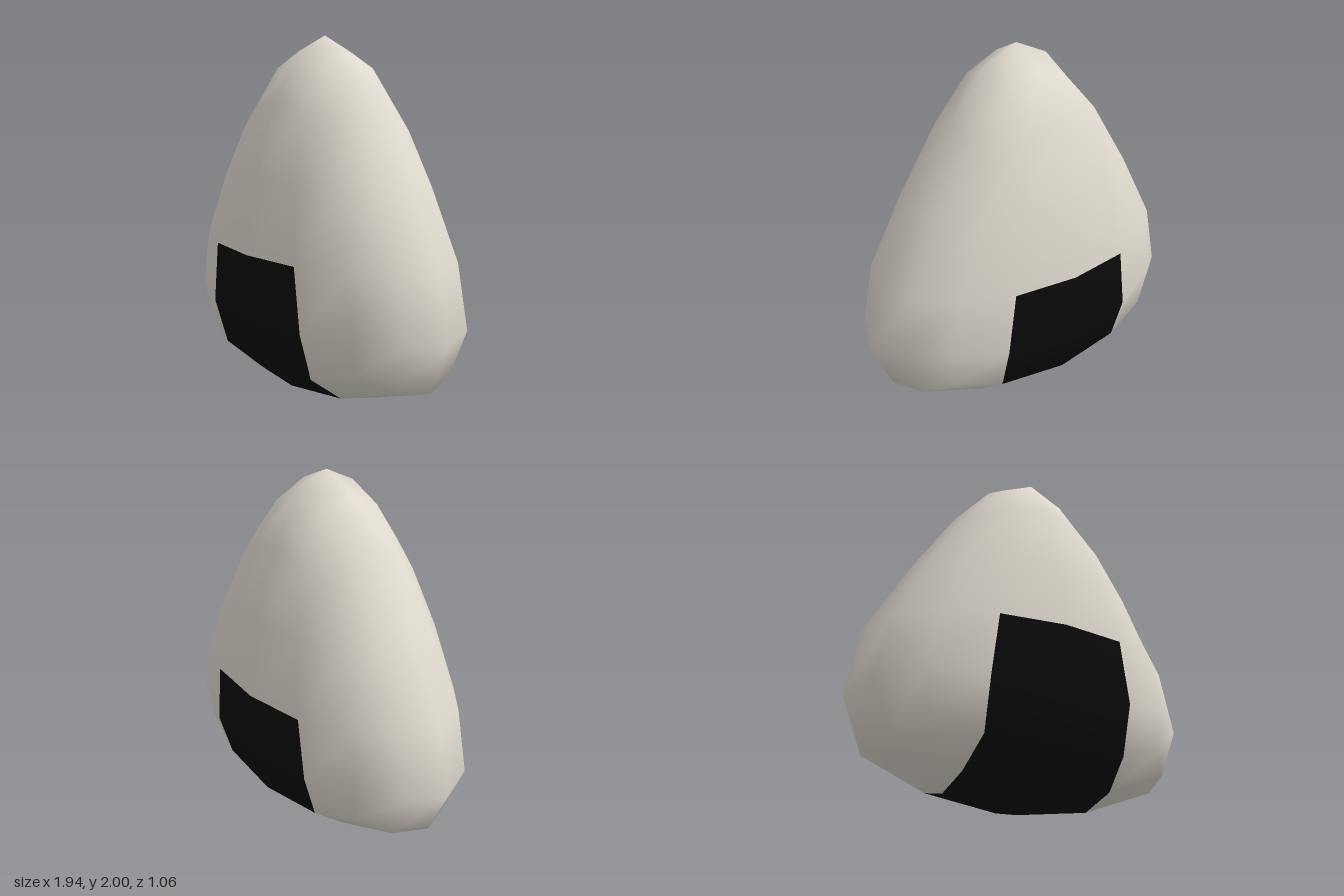
import * as THREE from 'three';
import { mergeVertices } from 'three/addons/utils/BufferGeometryUtils.js';

// Body profile from bottom to top: [unit-sphere height, y, x scale, z scale]
const PROFILE = [
  [-1, 0, 1.05, 0.62],
  [-0.917, 0.06, 1.053, 0.605],
  [-0.707, 0.22, 1.2, 0.622],
  [-0.399, 0.5, 1.058, 0.578],
  [0, 0.86, 0.89, 0.53],
  [0.399, 1.27, 0.72, 0.5],
  [0.707, 1.66, 0.58, 0.485],
  [0.917, 1.915, 0.476, 0.45],
  [1, 2, 0.47, 0.45],
];

function sampleProfile(t) {
  let i = 0;
  while (i < PROFILE.length - 2 && t > PROFILE[i + 1][0]) i++;
  const a = PROFILE[i], b = PROFILE[i + 1];
  const k = THREE.MathUtils.clamp((t - a[0]) / (b[0] - a[0]), 0, 1);
  return [1, 2, 3].map((j) => THREE.MathUtils.lerp(a[j], b[j], k));
}

// Evens out the grid spacing of a cube blown up to a sphere
function spread(u, others) {
  if (Math.abs(Math.abs(u) - 0.5) > 0.01) return u;
  const v = Math.min(...others.map(Math.abs));
  return Math.sign(u) * (0.435 + 0.065 * v * v);
}

// Cube point -> rounded triangular rice ball
function shapePoint(p) {
  const s = new THREE.Vector3(
    spread(p.x, [p.y, p.z]),
    spread(p.y, [p.x, p.z]),
    spread(p.z, [p.x, p.y]),
  ).normalize();
  const [y, sx, sz] = sampleProfile(s.y);
  return new THREE.Vector3(s.x * sx, y, s.z * sz);
}

export function createModel() {
  const rice = new THREE.MeshStandardMaterial({ color: 0xdfd9ce });
  rice.name = 'rice white';
  const seaweed = new THREE.MeshStandardMaterial({ color: 0x0a0a0a });
  seaweed.name = 'seaweed black';

  // Welded cube grid, 4 x 4 quads per side
  const box = new THREE.BoxGeometry(2, 2, 2, 4, 4, 4);
  box.deleteAttribute('normal');
  box.deleteAttribute('uv');
  const ball = mergeVertices(box);
  ball.clearGroups();
  const pos = ball.attributes.position;
  const index = ball.index.array;

  // The wrap takes the two middle columns, from mid-front under to mid-back
  const riceFaces = [], wrapFaces = [];
  const c = new THREE.Vector3(), p = new THREE.Vector3();
  for (let i = 0; i < index.length; i += 3) {
    const tri = [index[i], index[i + 1], index[i + 2]];
    c.set(0, 0, 0);
    tri.forEach((v) => c.add(p.fromBufferAttribute(pos, v)));
    c.divideScalar(3);
    (Math.abs(c.x) < 0.5 && c.y < 0 ? wrapFaces : riceFaces).push(...tri);
  }

  // Shape the ball, with normals smooth across both parts
  for (let i = 0; i < pos.count; i++) {
    const q = shapePoint(p.fromBufferAttribute(pos, i));
    pos.setXYZ(i, q.x, q.y, q.z);
  }
  ball.computeVertexNormals();

  const group = new THREE.Group();
  group.name = 'riceBall';
  const addPart = (name, faces, material) => {
    const geometry = ball.clone();
    geometry.setIndex(faces);
    const mesh = new THREE.Mesh(geometry, material);
    mesh.name = name;
    group.add(mesh);
  };
  addPart('riceBody', riceFaces, rice);
  addPart('seaweedWrap', wrapFaces, seaweed);
  return group;
}
